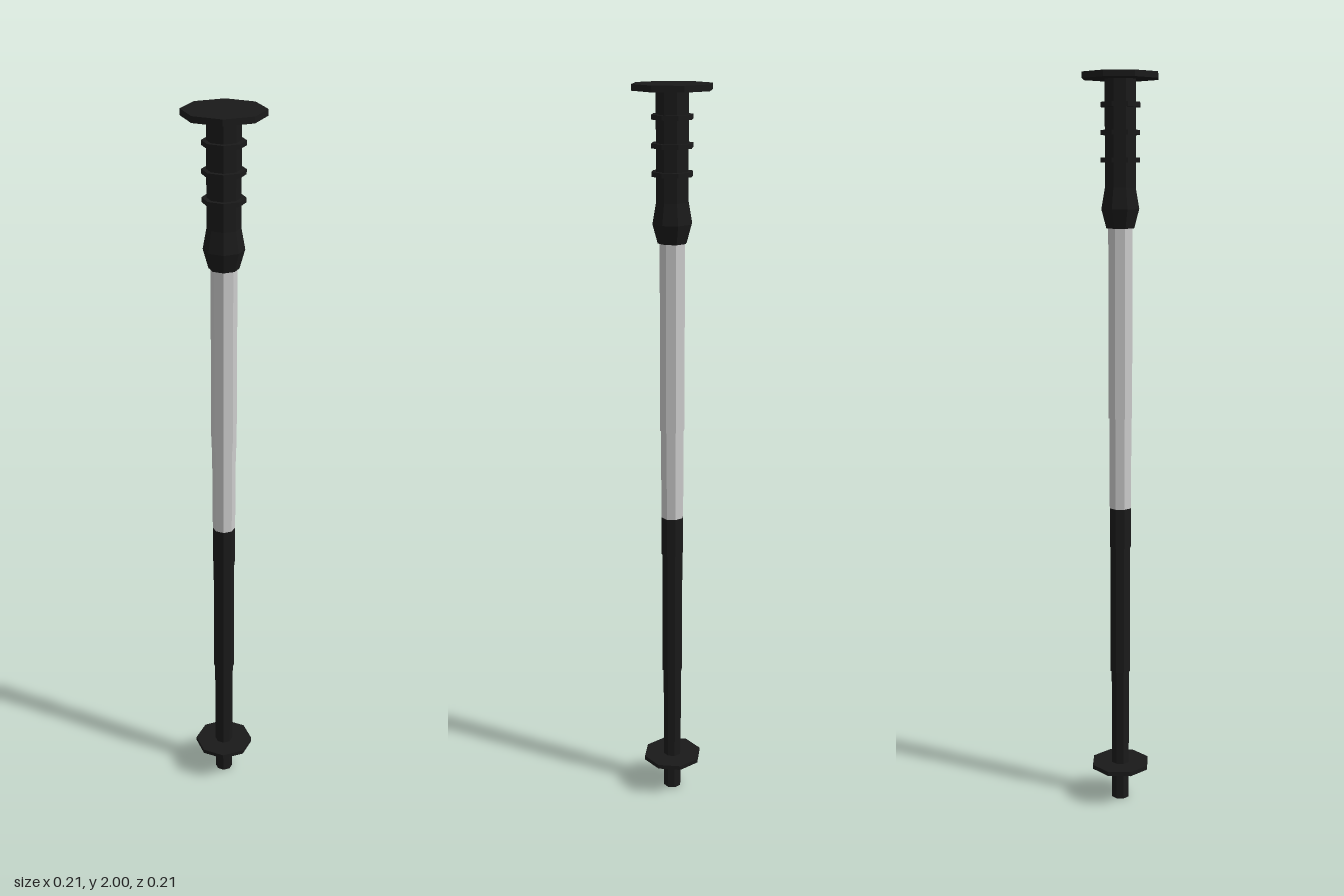
import * as THREE from 'three';

const SIDES = 8;

function material(color) {
  return new THREE.MeshStandardMaterial({ color, flatShading: true });
}

// Faceted solid turned around the y axis from [radius, y] points, bottom to top
function turned(name, points, mat) {
  const profile = points.map(([r, y]) => new THREE.Vector2(r, y));
  const mesh = new THREE.Mesh(new THREE.LatheGeometry(profile, SIDES), mat);
  mesh.name = name;
  return mesh;
}

function disc(name, radius, y, height, mat) {
  const mesh = new THREE.Mesh(new THREE.CylinderGeometry(radius, radius, height, SIDES), mat);
  mesh.position.y = y;
  mesh.name = name;
  return mesh;
}

export function createModel() {
  const group = new THREE.Group();
  group.name = 'pole';
  const dark = material(0x1a1a1a);
  const grey = material(0xcccccc);

  // Dark lower shaft, tapering to the tip
  group.add(turned('lowerShaft', [
    [0, 0], [0.025, 0], [0.026, 0.38], [0.029, 0.38],
    [0.029, 0.74], [0.031, 0.74], [0.031, 0.85], [0, 0.85],
  ], dark));

  // Bare upper shaft
  group.add(turned('upperShaft', [
    [0, 0.85], [0.031, 0.85], [0.032, 1.1], [0.034, 1.1], [0.034, 1.61], [0, 1.61],
  ], grey));

  // Handle with a swollen lower end
  group.add(turned('grip', [
    [0, 1.605], [0.039, 1.605], [0.053, 1.655], [0.043, 1.71], [0.043, 1.99], [0, 1.99],
  ], dark));

  // Finger ridges around the handle
  [1.78, 1.85, 1.92].forEach((y, i) => {
    group.add(disc(`gripRing${i + 1}`, 0.055, y, 0.012, dark));
  });

  // End plate on the handle and guard disc near the tip
  group.add(disc('endPlate', 0.105, 1.992, 0.016, dark));
  group.add(disc('tipDisc', 0.083, 0.1, 0.012, dark));

  return group;
}
